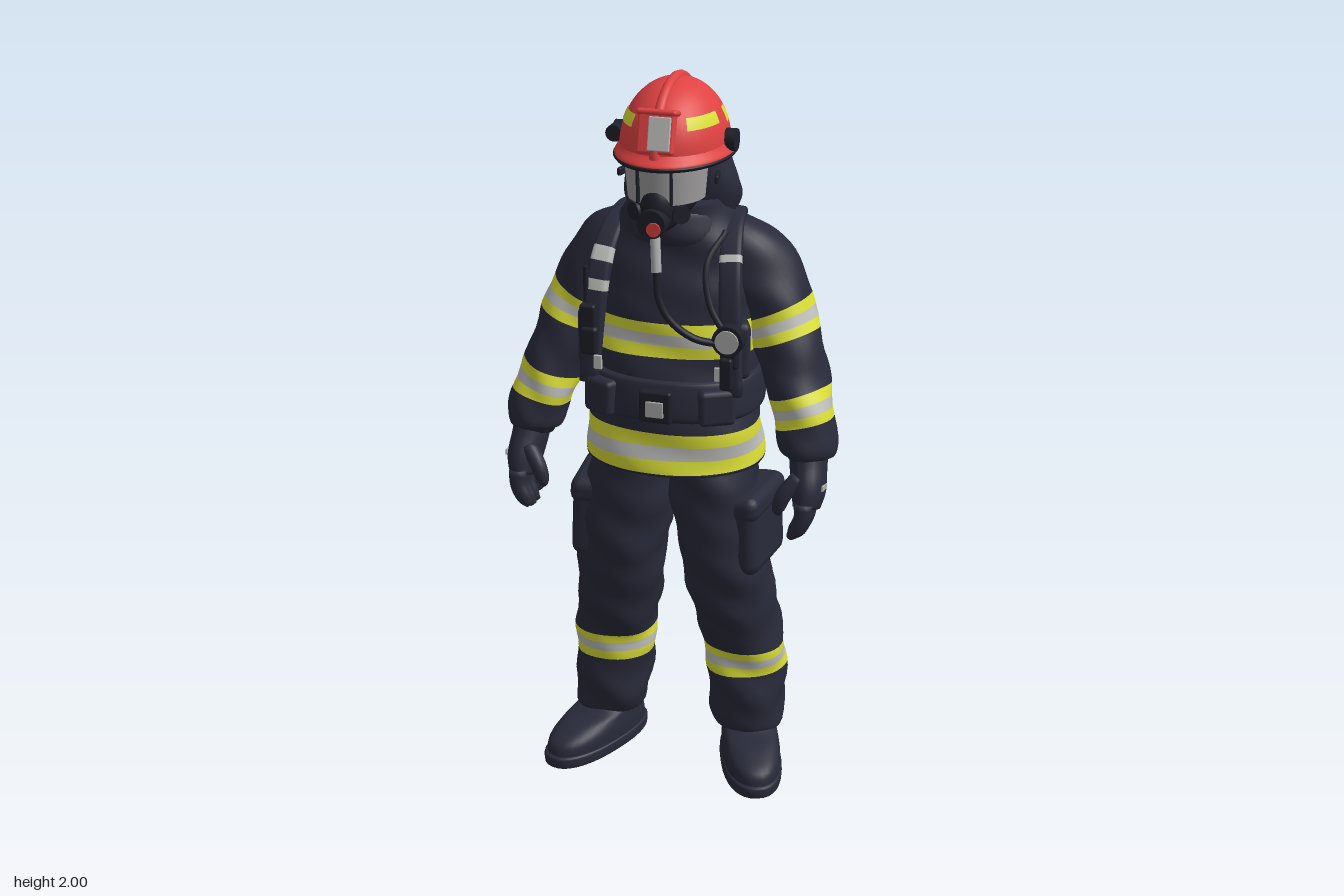
import * as THREE from 'three';
import { RoundedBoxGeometry } from 'three/addons/geometries/RoundedBoxGeometry.js';

const mat = (name, color) => Object.assign(new THREE.MeshStandardMaterial({ color }), { name });

export function createModel() {
  const root = new THREE.Group();
  root.name = 'firefighter';
  const cloth = mat('navy cloth', 0x292a3a), yellow = mat('reflective yellow', 0xdade36);
  const silver = mat('reflective silver', 0xbebebb), black = mat('black rubber', 0x1e1f29);
  const red = mat('helmet red', 0xe04242), metal = mat('tank metal', 0xacaeac);
  const glass = mat('visor glass', 0xa09e9f);
  glass.side = THREE.DoubleSide;

  const add = (name, geo, material, x = 0, y = 0, z = 0, rx = 0, ry = 0, rz = 0) => {
    const m = new THREE.Mesh(geo, material);
    m.name = name;
    m.position.set(x, y, z);
    m.rotation.set(rx, ry, rz);
    root.add(m);
    return m;
  };
  const box = (w, h, d, r = 0.008) => new RoundedBoxGeometry(w, h, d, 2, r);
  const cyl = (r, h, r2 = r) => new THREE.CylinderGeometry(r, r2, h, 24);

  // Closed skin through keys [x, y, z, radiusX, radiusZ], listed top to bottom.
  // bands: [from, to, materialIndex] in key units; fold: depth of cloth creases;
  // lean: how far the rings follow the path's forward slope.
  function loft(name, keys, material, { bands = [], fold = 0, q = 1, level = false, lean = 1, seg = 36, steps = 6 } = {}) {
    const n = keys.length - 1;
    const path = new THREE.CatmullRomCurve3(keys.map(k => new THREE.Vector3(k[0], k[1], k[2])), false, 'catmullrom');
    const size = new THREE.CatmullRomCurve3(keys.map(k => new THREE.Vector3(k[3], k[4], 0)), false, 'catmullrom');
    let us = bands.flatMap(b => [b[0], b[1]]);
    for (let i = 0; i <= n * steps; i++) us.push(i / steps);
    us.sort((a, b) => a - b);
    us = us.filter((u, i) => i === 0 || u - us[i - 1] > 1e-4);
    const pos = [], idx = [], geo = new THREE.BufferGeometry();
    const bend = (c, p) => Math.sign(c) * Math.abs(c) ** p;
    for (const u of us) {
      const c = path.getPoint(u / n), s = size.getPoint(u / n);
      const T = level ? new THREE.Vector3(0, -1, 0) : path.getTangent(u / n);
      T.z *= lean;
      T.normalize();
      const X = new THREE.Vector3(1, 0, 0).addScaledVector(T, -T.x).normalize();
      const Z = T.clone().cross(X);
      for (let j = 0; j < seg; j++) {
        const a = j / seg * Math.PI * 2;
        const f = fold * (0.6 * Math.sin(c.y * 48 + 2 * Math.sin(2 * a) + c.x * 9) + 0.5 * Math.sin(c.y * 27 - 3 * a));
        const p = c.clone().addScaledVector(X, bend(Math.cos(a), q) * (s.x + f))
          .addScaledVector(Z, bend(Math.sin(a), q) * (s.y + f));
        pos.push(p.x, p.y, p.z);
      }
    }
    for (let i = 0; i < us.length - 1; i++) {
      const mid = (us[i] + us[i + 1]) / 2, hit = bands.find(b => mid > b[0] && mid < b[1]);
      geo.addGroup(idx.length, seg * 6, hit ? hit[2] : 0);
      for (let j = 0; j < seg; j++) {
        const a = i * seg + j, b = i * seg + (j + 1) % seg;
        idx.push(a, b, a + seg, b, b + seg, a + seg);
      }
    }
    // End caps
    const start = idx.length, last = (us.length - 1) * seg, e = keys[n], top = pos.length / 3;
    pos.push(...keys[0].slice(0, 3), ...e.slice(0, 3));
    for (let j = 0; j < seg; j++) {
      const k = (j + 1) % seg;
      idx.push(top, k, j, top + 1, last + j, last + k);
    }
    geo.addGroup(start, idx.length - start, 0);
    geo.setAttribute('position', new THREE.Float32BufferAttribute(pos, 3));
    geo.setIndex(idx);
    geo.computeVertexNormals();
    return add(name, geo, [material, yellow, silver]);
  }
  const stripe = (a, b) => {
    const cuts = [0, .33, .67, 1].map(t => a + (b - a) * t);
    return [1, 2, 1].map((m, i) => [cuts[i], cuts[i + 1], m]);
  };

  // Jacket, belt and front flap
  loft('jacket', [[0, 1.67, .05, .125, .115], [0, 1.6, .035, .16, .125], [0, 1.52, .03, .203, .14], [0, 1.42, .035, .23, .162],
    [0, 1.3, .045, .228, .17], [0, 1.17, .06, .222, .18], [0, 1.06, .068, .235, .188], [0, .94, .07, .246, .195]],
  cloth, { bands: [...stripe(3.56, 4.3), ...stripe(6.02, 6.95)], fold: .005, q: .88, level: true, seg: 56 });
  loft('waistBelt', [[0, 1.205, .057, .226, .184], [0, 1.19, .058, .24, .195], [0, 1.11, .064, .246, .2], [0, 1.09, .066, .232, .186]],
    cloth, { q: .88, level: true, seg: 48 });
  add('beltBuckle', box(.09, .09, .03), black, .005, 1.14, .262);
  add('bucklePlate', box(.05, .045, .008, .003), metal, .005, 1.135, .277);

  // Collar and protective hood
  loft('hood', [[0, 1.87, .045, .115, .14], [0, 1.79, .03, .13, .135], [0, 1.71, .01, .155, .12], [0, 1.66, .0, .163, .113], [0, 1.6, .01, .135, .105]],
    cloth, { fold: .004, level: true });
  loft('collar', [[0, 1.655, .055, .1, .1], [0, 1.64, .05, .135, .122], [0, 1.58, .045, .152, .133], [0, 1.55, .04, .14, .12]],
    cloth, { fold: .004, level: true });

  // Breathing mask
  loft('maskBody', [[0, 1.82, .14, .1, .09], [0, 1.75, .14, .1, .1], [0, 1.69, .14, .09, .105], [0, 1.63, .17, .045, .08], [0, 1.61, .18, .02, .04]],
    black, { level: true });
  add('visor', new THREE.CylinderGeometry(.112, .103, .105, 36, 1, true, -1.6, 3.2), glass, 0, 1.745, .137).scale.z = 1.12;
  for (const s of [-1, 1]) {
    add('visorFrame', box(.008, .1, .012, .004), black, s * .045, 1.745, .25, 0, s * .35);
    add('exhaleValve', cyl(.024, .03), black, s * .058, 1.665, .215, Math.PI / 2, 0, -s * .6);
  }
  add('noseCup', new THREE.SphereGeometry(.046, 24, 16), black, 0, 1.685, .222).scale.y = 1.4;
  add('regulator', cyl(.038, .07), black, 0, 1.65, .25, Math.PI / 2);
  add('regulatorButton', cyl(.019, .01), red, .008, 1.638, .285, Math.PI / 2);

  // Helmet
  const dome = new THREE.Group();
  dome.name = 'helmetDome';
  dome.position.set(0, 1.815, .063);
  dome.scale.set(.143, .173, .187);
  root.add(dome);
  const shell = (name, r, material, ps = 0, pl = Math.PI * 2, ts = 0, tl = Math.PI / 2) => {
    const m = new THREE.Mesh(new THREE.SphereGeometry(r, 48, 20, ps, pl, ts, tl), material);
    m.name = name;
    dome.add(m);
  };
  shell('shell', 1, red);
  // Patches: angle from the front, width, polar start, polar length
  for (const s of [-1, 1]) for (const [a, w, t, l] of [[.98, .76, .97, .2], [1.76, .2, .98, .25], [2.5, .56, 1.0, .22]]) {
    shell('helmetPatch', 1.014, yellow, Math.PI / 2 + s * a - w / 2, w, t, l);
  }
  loft('helmetBrim', [[0, 1.85, .055, .134, .175], [0, 1.82, .055, .146, .197], [0, 1.8, .055, .157, .217], [0, 1.79, .055, .154, .214]],
    red, { level: true, seg: 48 });
  loft('brimEdge', [[0, 1.799, .055, .155, .215], [0, 1.793, .055, .161, .221], [0, 1.785, .055, .155, .215]], black, { level: true, seg: 48 });
  add('helmetComb', new THREE.TorusGeometry(.18, .014, 10, 40, Math.PI), red, 0, 1.815, .063, 0, Math.PI / 2).scale.set(1.03, .955, 1);
  add('badgeHolder', box(.1, .11, .03), red, 0, 1.88, .23, -.25);
  add('badgePlate', box(.06, .088, .008, .003), silver, .012, 1.882, .247, -.25);
  add('badgeLedge', box(.11, .016, .05), red, 0, 1.93, .212, -.25);
  add('helmetLamp', cyl(.022, .05), black, -.157, 1.835, .085, Math.PI / 2);

  // Air tank, harness plate and valve
  add('airTank', new THREE.CapsuleGeometry(.085, .345, 12, 36), metal, 0, 1.34, -.213);
  [[1.477, .027, yellow], [1.444, .039, silver], [1.41, .029, yellow]]
    .forEach(([y, h, m]) => add('tankStripe', cyl(.087, h), m, 0, y, -.213));
  add('tankStrap', cyl(.091, .05), black, 0, 1.345, -.213);
  add('tankCollar', cyl(.045, .03), black, 0, 1.08, -.213);
  add('valveBody', cyl(.03, .08), black, 0, 1.04, -.213);
  add('valveOutlet', cyl(.012, .1), metal, .01, 1.03, -.21, 0, 0, Math.PI / 2);
  add('valveKnob', cyl(.028, .04), black, .07, 1.025, -.21, 0, 0, Math.PI / 2);
  add('reducer', box(.09, .06, .07, .015), black, -.02, 1.035, -.165);
  add('backPlate', box(.17, .56, .045, .015), black, 0, 1.29, -.135);
  add('lumbarPad', box(.3, .1, .06, .02), cloth, 0, 1.13, -.12);

  for (const s of [-1, 1]) {
    // Tank frame and helmet fittings
    add('frameRail', box(.03, .5, .06, .012), black, s * .09, 1.29, -.15);
    add('strapLatch', box(.04, .06, .1, .012), black, s * .1, 1.345, -.2);
    add('helmetKnob', cyl(.03, .03), black, s * .152, 1.83, .06, 0, 0, Math.PI / 2);
    add('visorStrap', box(.012, .022, .12, .005), black, s * .122, 1.74, .08, 0, s * .2);

    // Harness
    loft('shoulderStrap', [[s * .09, 1.38, -.155, .026, .014], [s * .11, 1.52, -.135, .028, .016], [s * .14, 1.605, -.04, .03, .016],
      [s * .16, 1.59, .07, .03, .016], [s * .178, 1.5, .152, .03, .018], [s * .19, 1.36, .19, .03, .02], [s * .2, 1.17, .205, .026, .018]],
    cloth, { q: .5, seg: 20, bands: s < 0 ? [[3.75, 4.05, 2], [4.4, 4.6, 2]] : [[3.7, 3.85, 2]] });
    add('strapBuckle', box(.05, .08, .04, .012), black, s * .195, 1.29, .21);
    add('strapClip', box(.024, .04, .008, .003), silver, s * .168, 1.235, .228);
    add('chestPouch', box(.06, .16, .08, .02), cloth, s * .203, 1.29, .16, 0, s * .4);
    add('beltPouch', box(.1, .1, .05, .015), cloth, s * .16, 1.14, .22, 0, s * .5);
    add('sideRing', cyl(.018, .02), metal, s * .1, 1.13, -.155, Math.PI / 2);

    // Sleeves
    loft('sleeve', [[s * .12, 1.56, .01, .075, .09], [s * .195, 1.485, 0, .106, .115], [s * .262, 1.38, 0, .1, .115], [s * .315, 1.25, .035, .09, .11],
      [s * .362, 1.12, .08, .083, .1], [s * .39, 1.02, .115, .077, .09], [s * .395, .985, .125, .058, .064]],
    cloth, { bands: [...stripe(2.14, 2.72), ...stripe(3.74, 4.4)], fold: .005, lean: .4 });

    // Gloves
    loft('glove', [[s * .393, 1.01, .125, .052, .056], [s * .398, .96, .147, .05, .06], [s * .405, .91, .17, .046, .066], [s * .403, .865, .184, .036, .062]],
      cloth, { seg: 24 });
    for (let i = 0; i < 4; i++) {
      const z = .137 + i * .031, d = i === 0 ? .02 : i === 3 ? .01 : 0;
      loft('finger', [[s * .405, .89, z, .026, .021], [s * .403, .845 + d / 2, z + .004, .023, .02], [s * .386, .805 + d, z + .006, .021, .018],
        [s * .37, .783 + d, z + .006, .01, .01]], cloth, { seg: 12, steps: 3 });
    }
    loft('thumb', [[s * .383, .95, .195, .024, .026], [s * .35, .91, .217, .022, .022], [s * .335, .87, .222, .018, .018], [s * .334, .85, .221, .008, .008]],
      cloth, { seg: 14, steps: 4 });
    add('gloveBadge', box(.006, .016, .045, .002), metal, s * .449, .925, .178, -.15);

    // Trousers
    loft('trouserLeg', [[s * .105, .97, .07, .12, .155], [s * .122, .83, .078, .122, .155], [s * .148, .66, .075, .122, .146], [s * .168, .5, .055, .117, .133],
      [s * .19, .36, .02, .114, .12], [s * .2, .2, .02, .108, .115], [s * .205, .12, .022, .098, .105], [s * .205, .1, .022, .08, .085]],
    cloth, { bands: stripe(3.95, 4.42), fold: .006, level: true, q: .94 });
    add('cargoPocket', box(.09, .22, .24, .035), cloth, s * .234, .74, .074, 0, -s * .1, s * .04);
    add('pocketFlap', box(.096, .075, .25, .03), cloth, s * .233, .83, .074, 0, -s * .1, s * .04);

    // Boots, turned outward
    const boot = loft('boot', [[0, .17, 0, .075, .08], [0, .12, .01, .076, .095], [0, .095, .06, .078, .145], [0, .065, .088, .082, .185], [0, .02, .092, .082, .195]],
      cloth, { level: true, q: .88 });
    const sole = loft('bootSole', [[0, .034, .092, .082, .195], [0, .027, .092, .086, .203], [0, .004, .092, .085, .202], [0, 0, .092, .081, .197]],
      cloth, { level: true, q: .86 });
    for (const part of [boot, sole]) {
      part.position.set(s * .2, 0, .01);
      part.rotation.y = s * .36;
    }
  }

  // Air hoses, gauge and radio
  const tube = (name, pts, r, m) => add(name, new THREE.TubeGeometry(
    new THREE.CatmullRomCurve3(pts.map(p => new THREE.Vector3(...p))), 32, r, 10), m);
  tube('hoseFitting', [[0, 1.63, .25], [.006, 1.58, .262], [.012, 1.52, .275]], .014, metal);
  tube('airHose', [[.012, 1.53, .273], [.02, 1.45, .282], [.05, 1.39, .275], [.11, 1.34, .255], [.19, 1.32, .225]], .01, black);
  tube('gaugeHose', [[.15, 1.59, .1], [.12, 1.52, .175], [.14, 1.42, .215], [.19, 1.34, .225]], .009, black);
  add('gaugeHousing', cyl(.042, .035), black, .195, 1.335, .228, Math.PI / 2);
  add('gaugeFace', cyl(.032, .008), metal, .195, 1.335, .247, Math.PI / 2);
  add('gaugeGrip', box(.035, .09, .03), black, .19, 1.24, .228);
  add('radio', box(.045, .1, .035), black, -.2, 1.34, .205);
  add('radioAntenna', cyl(.007, .12), black, -.21, 1.43, .195);
  return root;
}
